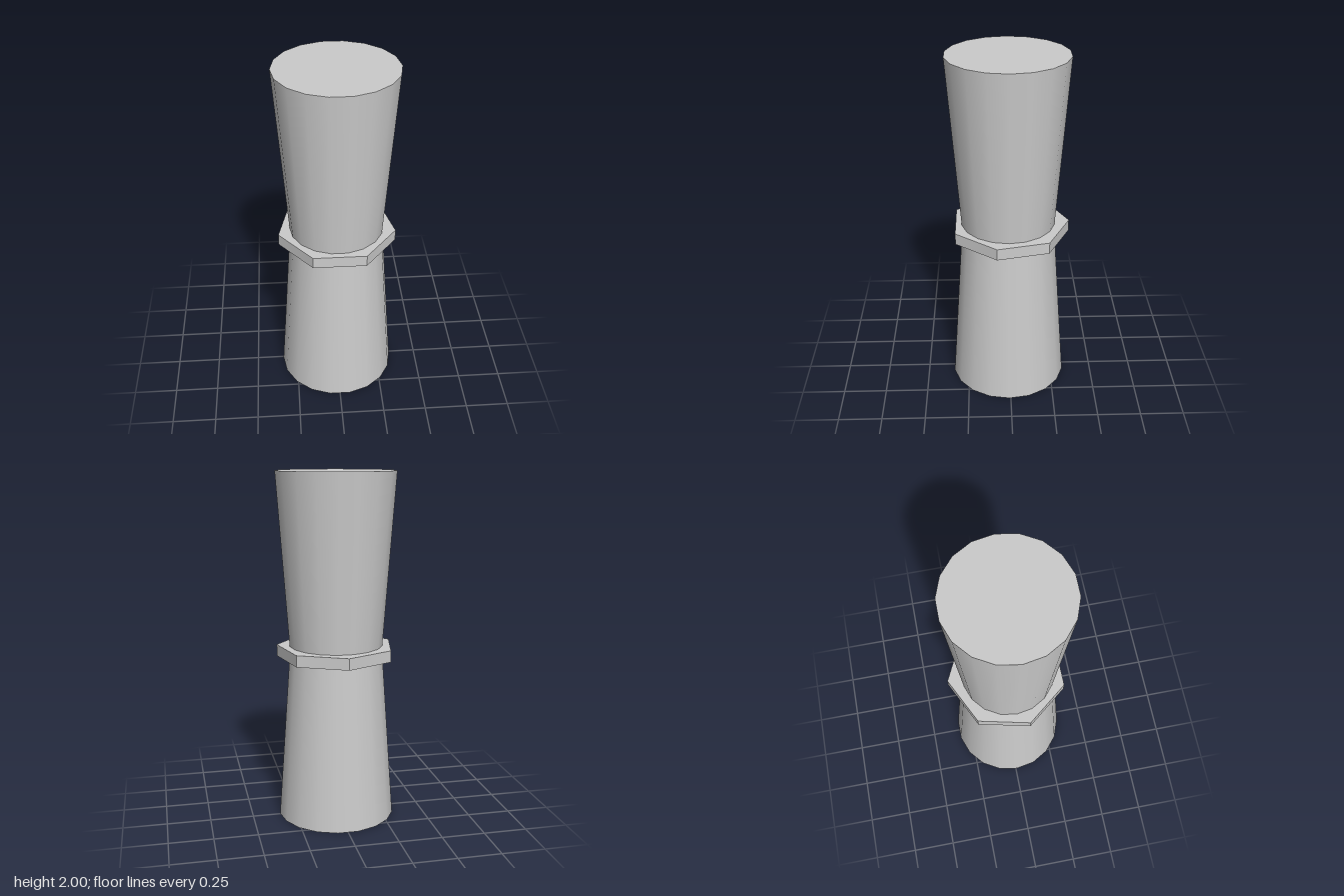
import * as THREE from 'three';

export function createModel() {
  const group = new THREE.Group();
  const material = new THREE.MeshStandardMaterial({ color: 0xcccccc });

  const add = (name, geometry, turn, y, z) => {
    const mesh = new THREE.Mesh(geometry, material);
    mesh.name = name;
    mesh.rotation.y = turn;
    mesh.position.set(0, y, z);
    group.add(mesh);
  };

  // Two tapered 18-sided halves, narrowest where they meet
  const wide = 0.339, waist = 0.267, sides = 18, turn = Math.PI / sides;
  add('lowerBody', new THREE.CylinderGeometry(waist, wide, 1, sides), turn, 0.5, 0.0075);
  add('upperBody', new THREE.CylinderGeometry(wide, waist, 1, sides), turn, 1.5, 0.0075);

  // Seven-sided collar around the waist, one corner pointing back
  const collar = new THREE.CylinderGeometry(0.342, 0.342, 0.066, 7).toNonIndexed();
  collar.computeVertexNormals();
  add('waistCollar', collar, Math.PI, 0.985, -0.001);

  return group;
}
